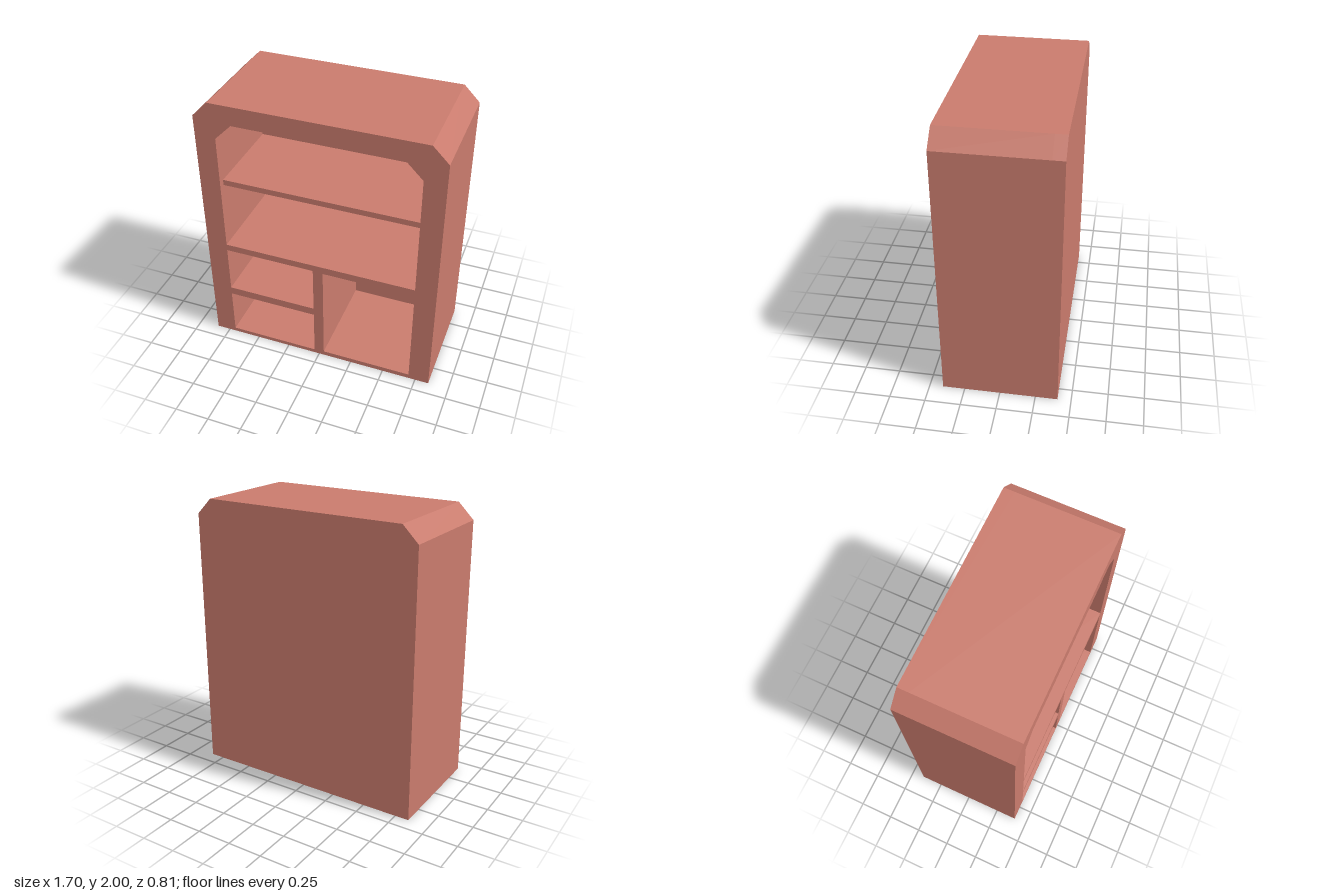
import * as THREE from 'three';

const FRONT = 0.405, BACK = -0.405;
const NICHE_BACK = -0.325;  // rear of the lower compartments
const UPPER_BACK = -0.285;  // rear of the upper compartment

const material = new THREE.MeshStandardMaterial({ color: 0xc97b6d, flatShading: true });

// Rectangle whose two top corners are cut at 45 degrees
function outline(PathType, x0, x1, y0, y1, cut = 0) {
  const points = [[x0, y0], [x1, y0], [x1, y1 - cut]];
  if (cut) points.push([x1 - cut, y1], [x0 + cut, y1]);
  else points.push([x0, y1]);
  if (cut) points.push([x0, y1 - cut]);
  return new PathType(points.map(([x, y]) => new THREE.Vector2(x, y)));
}

// Extrude a front outline between two depths
function slab(name, shape, z0, z1) {
  const geometry = new THREE.ExtrudeGeometry(shape, { depth: z1 - z0, bevelEnabled: false });
  geometry.translate(0, 0, z0);
  const mesh = new THREE.Mesh(geometry, material);
  mesh.name = name;
  return mesh;
}

export function createModel() {
  const group = new THREE.Group();
  group.name = 'cabinet';
  const body = () => outline(THREE.Shape, -0.85, 0.85, 0, 2, 0.112);
  const upper = [-0.7, 0.7, 0.86, 1.862, 0.12];

  // Carcass with all openings cut through
  const carcass = body();
  carcass.holes = [
    upper,
    [-0.7, -0.037, 0.45, 0.81],
    [-0.7, -0.037, 0.03, 0.39],
    [0.037, 0.7, 0.035, 0.805],
  ].map((o) => outline(THREE.Path, ...o));
  group.add(slab('carcass', carcass, NICHE_BACK, FRONT));

  // Solid back and the thicker lining behind the upper compartment
  group.add(slab('backPanel', body(), BACK, NICHE_BACK));
  group.add(slab('upperBackLining', outline(THREE.Shape, ...upper), NICHE_BACK, UPPER_BACK));

  // Thin shelf, set back a little from the front
  group.add(slab('shelf', outline(THREE.Shape, -0.7, 0.7, 1.35, 1.392), UPPER_BACK, 0.36));

  return group;
}
